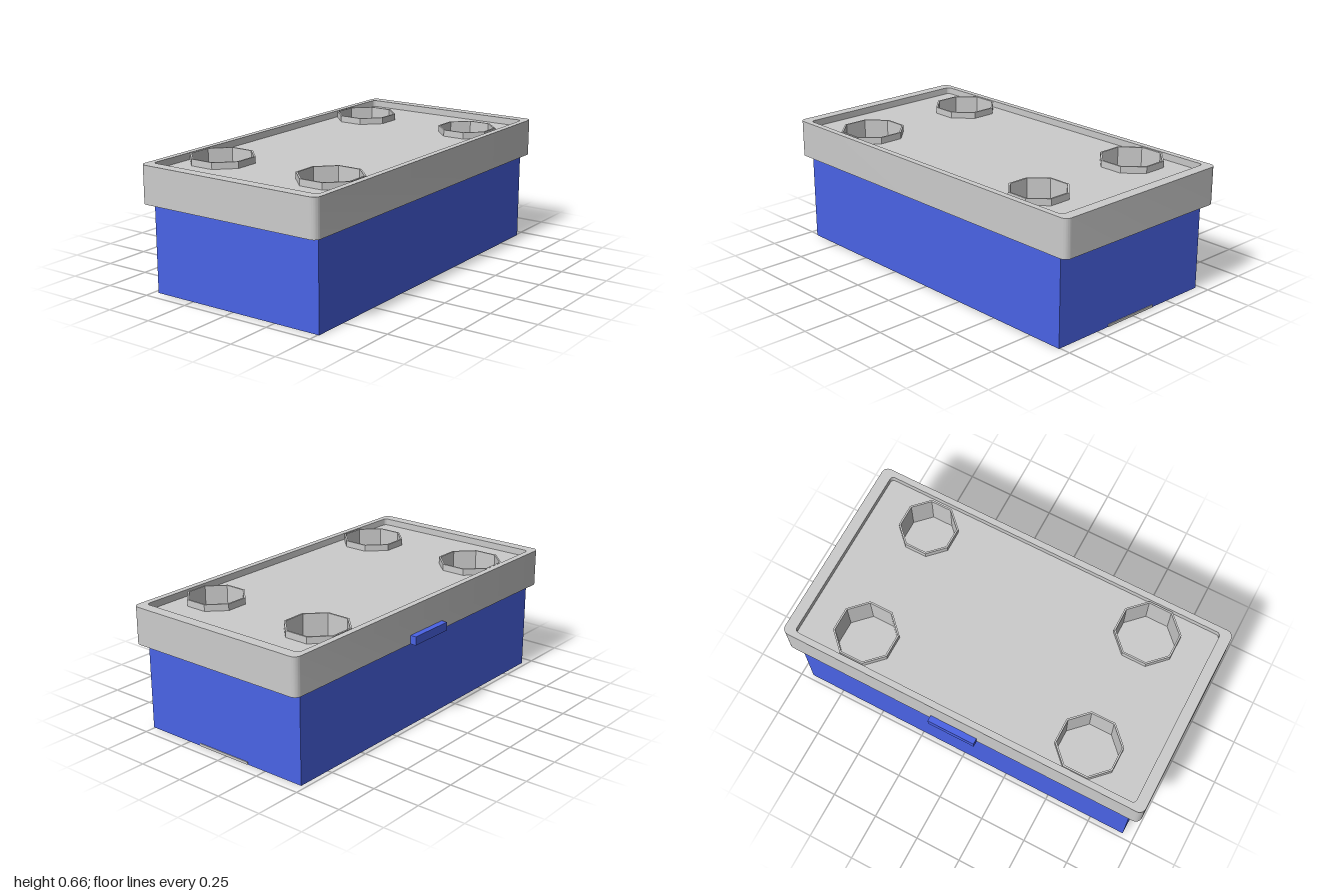
import * as THREE from 'three';
import { toCreasedNormals } from 'three/addons/utils/BufferGeometryUtils.js';

const CX = 0.016; // the lid and body sit slightly off centre because of the side tab

const grey = new THREE.MeshStandardMaterial({ color: 0xcccccc });
const blue = new THREE.MeshStandardMaterial({ color: 0x4a63e6 });

// Rounded rectangle outline centred on the lid
function trace(path, hw, hd, r) {
  path.moveTo(CX - hw + r, -hd);
  path.lineTo(CX + hw - r, -hd);
  path.absarc(CX + hw - r, -hd + r, r, -Math.PI / 2, 0);
  path.lineTo(CX + hw, hd - r);
  path.absarc(CX + hw - r, hd - r, r, 0, Math.PI / 2);
  path.lineTo(CX - hw + r, hd);
  path.absarc(CX - hw + r, hd - r, r, Math.PI / 2, Math.PI);
  path.lineTo(CX - hw, -hd + r);
  path.absarc(CX - hw + r, -hd + r, r, Math.PI, Math.PI * 1.5);
  return path;
}

// Octagon with flats facing the axes; a is the centre-to-flat distance
function octagon(x, z, a) {
  const r = a / Math.cos(Math.PI / 8);
  return Array.from({ length: 8 }, (_, i) => {
    const t = (i + 0.5) * Math.PI / 4;
    return new THREE.Vector2(x + r * Math.cos(t), -z + r * Math.sin(t));
  });
}

// Extrude a plan shape upward from y0 to y1
function slab(name, shape, y0, y1) {
  const geo = new THREE.ExtrudeGeometry(shape, { depth: y1 - y0, bevelEnabled: false, curveSegments: 8 });
  geo.rotateX(-Math.PI / 2).translate(0, y0, 0);
  const mesh = new THREE.Mesh(toCreasedNormals(geo, 0.5), grey);
  mesh.name = name;
  return mesh;
}

function box(name, material, x0, x1, y0, y1, z0, z1) {
  const mesh = new THREE.Mesh(new THREE.BoxGeometry(x1 - x0, y1 - y0, z1 - z0), material);
  mesh.position.set((x0 + x1) / 2, (y0 + y1) / 2, (z0 + z1) / 2);
  mesh.name = name;
  return mesh;
}

export function createModel() {
  const model = new THREE.Group();
  model.name = 'liddedBox';

  // Body, side tab and the thin strip low on the back
  model.add(box('body', blue, -0.475, 0.507, 0, 0.465, -0.94, 0.94));
  model.add(box('sideTab', blue, -0.538, -0.5, 0.465, 0.51, -0.16, 0.1));
  model.add(box('backStrip', grey, -0.14, 0.175, 0.001, 0.014, -0.944, -0.93));

  const lid = new THREE.Group();
  lid.name = 'lid';
  model.add(lid);

  // Outer rim standing above the recessed top
  const rim = trace(new THREE.Shape(), 0.522, 1, 0.035);
  rim.holes.push(trace(new THREE.Path(), 0.489, 0.942, 0.02));
  lid.add(slab('lidRim', rim, 0.465, 0.66));

  // Base closing the bottoms of the sockets
  lid.add(slab('lidBase', trace(new THREE.Shape(), 0.489, 0.942, 0.02), 0.465, 0.48));

  // Recessed top pierced by four sockets with raised octagonal collars
  const sockets = [
    [-0.313, -0.625, 0.154],
    [0.341, -0.631, 0.142],
    [-0.314, 0.62, 0.156],
    [0.341, 0.617, 0.156],
  ];
  const top = trace(new THREE.Shape(), 0.489, 0.942, 0.02);
  for (const [x, z, a] of sockets) {
    top.holes.push(new THREE.Path(octagon(x, z, a - 0.004)));
    const collar = new THREE.Shape(octagon(x, z, a));
    collar.holes.push(new THREE.Path(octagon(x, z, a - 0.009)));
    lid.add(slab('socketCollar', collar, 0.48, 0.659));
  }
  lid.add(slab('lidTop', top, 0.48, 0.625));

  return model;
}
